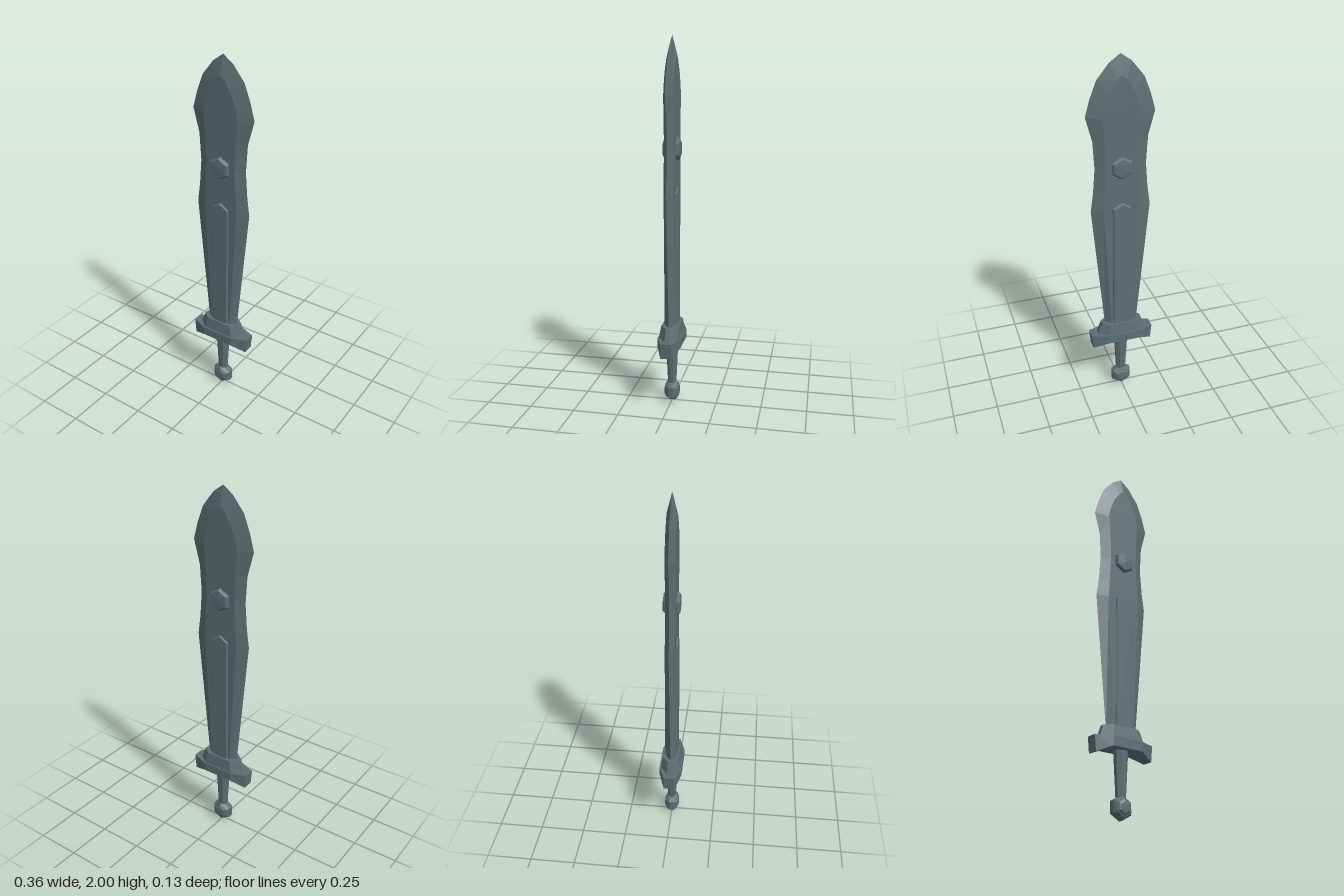
import * as THREE from 'three';

const steel = new THREE.MeshStandardMaterial({ color: 0x5c6f73, flatShading: true });

function part(name, geometry) {
  const mesh = new THREE.Mesh(geometry, steel);
  mesh.name = name;
  return mesh;
}

// Skin a list of equal-length rings of [x, y, z] and close both ends.
function loft(rings) {
  const pos = [];
  const tri = (a, b, c) => pos.push(...a, ...b, ...c);
  const n = rings[0].length;
  for (let r = 0; r < rings.length - 1; r++) {
    for (let i = 0; i < n; i++) {
      const j = (i + 1) % n;
      const [a, b, c, d] = [rings[r][i], rings[r][j], rings[r + 1][j], rings[r + 1][i]];
      tri(a, b, c);
      tri(a, c, d);
    }
  }
  const first = rings[0], last = rings[rings.length - 1];
  for (let i = 1; i < n - 1; i++) {
    tri(first[0], first[i + 1], first[i]);
    tri(last[0], last[i], last[i + 1]);
  }
  const g = new THREE.BufferGeometry();
  g.setAttribute('position', new THREE.Float32BufferAttribute(pos, 3));
  g.computeVertexNormals();
  return g;
}

// Six-sided boss along z, mirrored front to back; half-profile of [radius, z].
function hexBoss(half, y) {
  const pts = [...half.map(([r, z]) => [r, -z]).reverse(), ...half]
    .map(([r, z]) => new THREE.Vector2(r, z));
  return new THREE.LatheGeometry(pts, 6).rotateX(Math.PI / 2).translate(0, y, 0);
}

export function createModel() {
  const sword = new THREE.Group();
  sword.name = 'sword';

  // Blade: [edge height, edge half-width, flat height, flat half-width]
  const t = 0.026;
  const blade = [
    [0.43, 0.092, 0.43, 0.06], [1.18, 0.163, 1.18, 0.1], [1.28, 0.149, 1.28, 0.094],
    [1.42, 0.138, 1.42, 0.087], [1.57, 0.147, 1.57, 0.09], [1.7, 0.182, 1.69, 0.102],
    [1.79, 0.157, 1.75, 0.09], [1.88, 0.122, 1.82, 0.063], [1.96, 0.057, 1.88, 0.025],
    [2, 0, 1.9, 0],
  ].map(([y, w, fy, f]) => [
    [w, y, 0], [f, fy, -t], [-f, fy, -t], [-w, y, 0], [-f, fy, t], [f, fy, t],
  ]);
  sword.add(part('blade', loft(blade)));

  // Raised rib with a pointed top, on both faces
  const ribShape = new THREE.Shape([
    [-0.044, 0.43], [0.044, 0.43], [0.044, 1.185], [0, 1.212], [-0.044, 1.185],
  ].map(([x, y]) => new THREE.Vector2(x, y)));
  const rib = new THREE.ExtrudeGeometry(ribShape, {
    depth: 0.056, bevelThickness: 0.007, bevelSize: 0.007, bevelSegments: 1,
  });
  sword.add(part('rib', rib.translate(0, 0, -0.028)));

  // Stud through the blade
  sword.add(part('stud', hexBoss([[0.063, 0.032], [0.052, 0.043], [0, 0.047]], 1.42)));

  // Collar at the blade's root: [y, end x, end z, face x, face z]
  const collar = [[0.393, 0.14, 0.014, 0.09, 0.055], [0.46, 0.116, 0.012, 0.075, 0.046]]
    .map(([y, ex, ez, fx, fz]) => [
      [ex, y, ez], [ex, y, -ez], [fx, y, -fz], [-fx, y, -fz],
      [-ex, y, -ez], [-ex, y, ez], [-fx, y, fz], [fx, y, fz],
    ]);
  sword.add(part('collar', loft(collar)));

  // Crossguard with drooping ends: [top x, bottom x, bottom y, half depth]
  const guard = [
    [-0.18, -0.172, 0.31, 0.03], [-0.09, -0.09, 0.345, 0.063],
    [0.09, 0.09, 0.345, 0.063], [0.18, 0.172, 0.31, 0.03],
  ].map(([tx, bx, by, z]) => [[tx, 0.395, -z], [tx, 0.395, z], [bx, by, z], [bx, by, -z]]);
  sword.add(part('crossguard', loft(guard)));

  // Tapered eight-sided grip
  const grip = new THREE.CylinderGeometry(0.041, 0.027, 0.26, 8);
  grip.rotateY(Math.PI / 8).scale(1, 1, 0.85).translate(0, 0.225, 0);
  sword.add(part('grip', grip));

  // Stepped pommel
  sword.add(part('pommel', hexBoss([
    [0.062, 0.013], [0.048, 0.03], [0.043, 0.03], [0.036, 0.036], [0.026, 0.04], [0, 0.041],
  ], 0.0705)));
  sword.getObjectByName('pommel').position.y = -0.0085;
  sword.children.forEach((m) => { m.castShadow = m.receiveShadow = true; });
  return sword;
}
